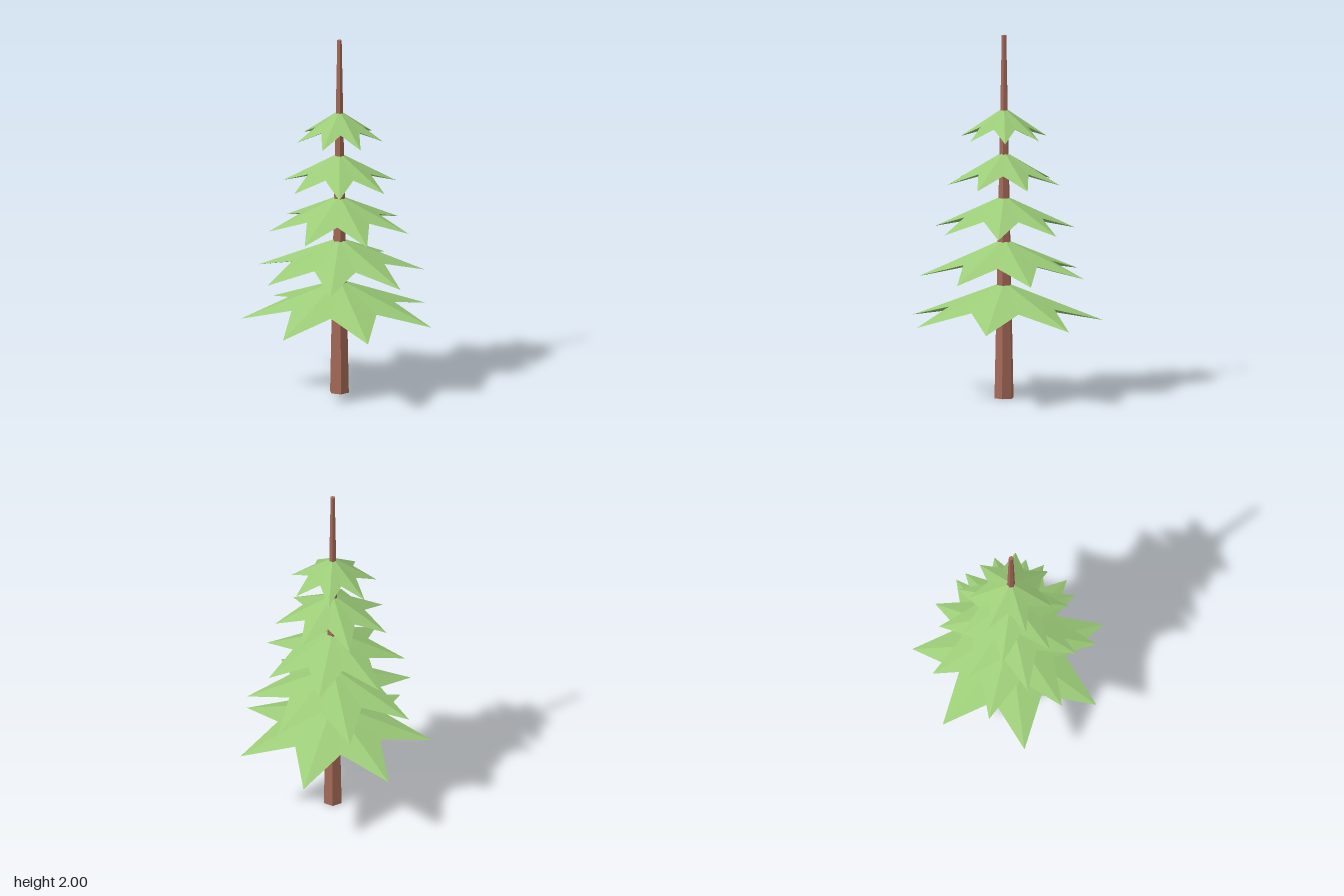
import * as THREE from 'three';

const POINTS = 7;
const NOTCH = 0.555; // notch radius as a share of the tip radius

// A drooping seven-pointed star: ridged top over a shallow underside
function branchTier(radius, tipY, apexY, turn) {
  const h = apexY - tipY;
  const rim = [];
  for (let i = 0; i < POINTS * 2; i++) {
    const a = turn + (i * Math.PI) / POINTS;
    const tip = i % 2 === 0;
    const r = tip ? radius : radius * NOTCH;
    rim.push([Math.cos(a) * r, tip ? tipY : tipY + h * 0.37, Math.sin(a) * r]);
  }
  const apex = [0, apexY, 0];
  const under = [0, tipY + h * 0.43, 0];
  const pos = [];
  rim.forEach((p, i) => {
    const q = rim[(i + 1) % rim.length];
    pos.push(...apex, ...q, ...p); // top face
    pos.push(...under, ...p, ...q); // underside face
  });
  const geo = new THREE.BufferGeometry();
  geo.setAttribute('position', new THREE.Float32BufferAttribute(pos, 3));
  geo.computeVertexNormals();
  return geo;
}

export function createModel() {
  const needles = new THREE.MeshStandardMaterial({ name: 'needle green', color: 0x9ccc78, flatShading: true });
  const bark = new THREE.MeshStandardMaterial({ name: 'bark brown', color: 0xa56a58, flatShading: true });

  const tree = new THREE.Group();
  tree.name = 'pineTree';

  // Tapering six-sided trunk
  const trunk = new THREE.Mesh(new THREE.CylinderGeometry(0.013, 0.055, 2, 6).rotateY(Math.PI / 6), bark);
  trunk.name = 'trunk';
  trunk.position.y = 1;
  tree.add(trunk);

  // Branch tiers from bottom to top: radius, tip height, apex height, turn in degrees
  const tiers = [
    [0.54, 0.425, 0.64, 0],
    [0.467, 0.678, 0.878, 22.7],
    [0.392, 0.93, 1.118, -5.9],
    [0.315, 1.183, 1.36, 16.9],
    [0.24, 1.436, 1.602, -12],
  ];
  tiers.forEach(([r, tipY, apexY, deg], i) => {
    const tier = new THREE.Mesh(branchTier(r, tipY, apexY, THREE.MathUtils.degToRad(deg)), needles);
    tier.name = `branchTier${i + 1}`;
    tree.add(tier);
  });

  // The trunk stands slightly off the middle so the whole tree is centred
  tree.position.x = -0.027;
  const model = new THREE.Group();
  model.name = 'tree';
  model.add(tree);
  return model;
}
